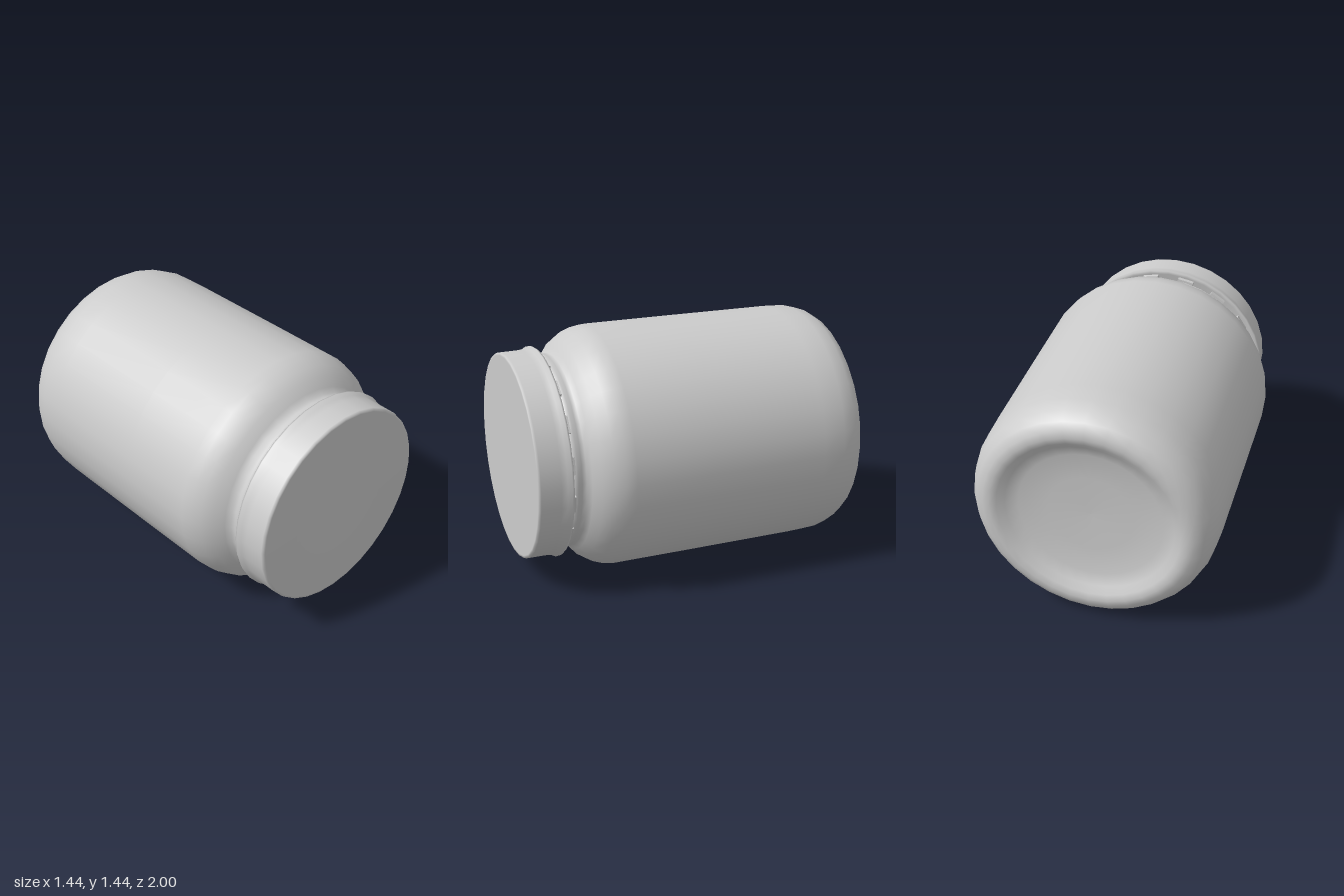
import * as THREE from 'three';

const CENTER_Y = 0.722;

// Revolve a profile of [radius, z] pairs (rising z) about the jar's long axis
function revolve(name, profile, material, segments = 32) {
  const points = profile.map(([r, z]) => new THREE.Vector2(r, z));
  const geometry = new THREE.LatheGeometry(points, segments);
  geometry.rotateX(Math.PI / 2);
  const mesh = new THREE.Mesh(geometry, material);
  mesh.name = name;
  return mesh;
}

export function createModel() {
  const group = new THREE.Group();
  group.name = 'jar';
  const material = new THREE.MeshStandardMaterial({ color: 0xcccccc, roughness: 0.7 });

  const axis = new THREE.Group();
  axis.name = 'jarLyingDown';
  axis.position.y = CENTER_Y;
  group.add(axis);

  // Body: recessed base, rounded heel, straight wall, shoulder and neck
  axis.add(revolve('body', [
    [0, -0.91], [0.25, -0.915], [0.42, -0.93], [0.49, -0.96], [0.53, -0.99],
    [0.57, -1], [0.61, -0.993], [0.655, -0.965], [0.69, -0.91], [0.712, -0.83],
    [0.718, -0.7], [0.721, 0], [0.722, 0.47], [0.712, 0.53], [0.69, 0.59],
    [0.65, 0.65], [0.6, 0.69], [0.575, 0.715], [0.572, 0.74],
    [0.585, 0.765], [0.575, 0.785], [0.56, 0.8], [0.56, 0.85],
  ], material));

  // Lid: flared lip at the skirt's edge, plain side, flat face
  axis.add(revolve('lid', [
    [0.54, 0.815], [0.6, 0.803], [0.62, 0.8], [0.625, 0.812], [0.612, 0.835],
    [0.608, 0.87], [0.607, 0.985], [0.603, 0.998], [0.59, 1], [0.3, 1], [0, 1],
  ], material));

  // Seal tabs bridging the gap between neck and lid
  const tabs = new THREE.Group();
  tabs.name = 'sealTabs';
  const tabGeometry = new THREE.BoxGeometry(0.1, 0.03, 0.025);
  const count = 16;
  for (let i = 0; i < count; i++) {
    const angle = ((i + 0.5) / count) * Math.PI * 2;
    const tab = new THREE.Mesh(tabGeometry, material);
    tab.name = 'sealTab';
    tab.position.set(Math.cos(angle) * 0.575, Math.sin(angle) * 0.575, 0.793);
    tab.rotation.z = angle - Math.PI / 2;
    tabs.add(tab);
  }
  axis.add(tabs);

  return group;
}
